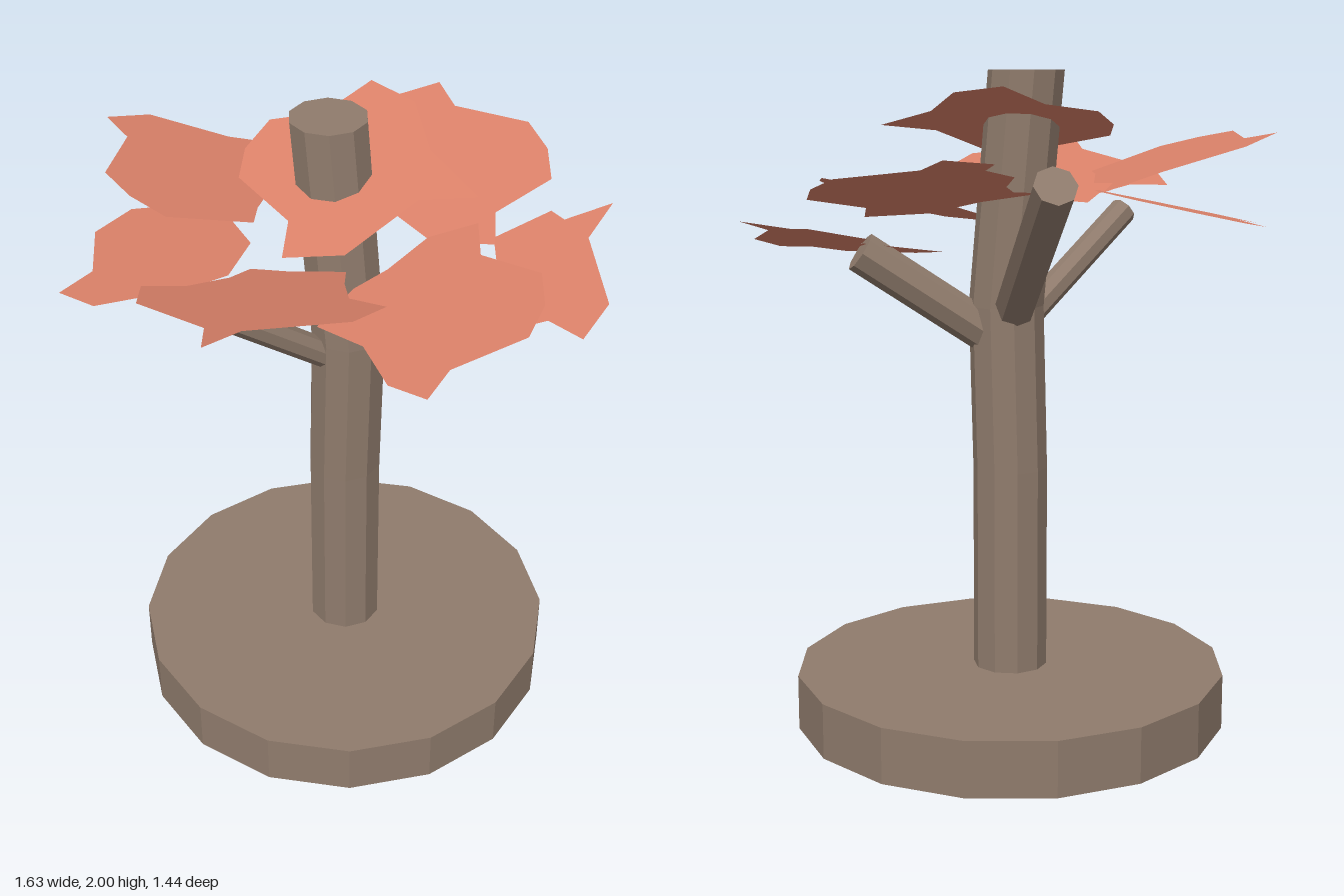
import * as THREE from 'three';

const bark = new THREE.MeshStandardMaterial({ color: 0x8f7b6c, flatShading: true });
const foliage = new THREE.MeshStandardMaterial({ color: 0xd98068, flatShading: true, side: THREE.DoubleSide });

function add(group, name, geometry, material) {
  const mesh = new THREE.Mesh(geometry, material);
  mesh.name = name;
  group.add(mesh);
}

// Straight branch between two points
function branch(from, to, radius) {
  const a = new THREE.Vector3(...from), b = new THREE.Vector3(...to);
  const dir = b.clone().sub(a);
  const g = new THREE.CylinderGeometry(radius, radius, dir.length(), 8);
  g.applyQuaternion(new THREE.Quaternion().setFromUnitVectors(new THREE.Vector3(0, 1, 0), dir.normalize()));
  return g.translate(...a.add(b).multiplyScalar(0.5).toArray());
}

// Flat leaf: an [x, z] outline laid on the plane y = h + sx * x + sz * z
function leaf([h, sx, sz], outline) {
  const g = new THREE.ShapeGeometry(new THREE.Shape(outline.map(([x, z]) => new THREE.Vector2(x, -z))));
  g.rotateX(-Math.PI / 2);
  const p = g.attributes.position;
  for (let i = 0; i < p.count; i++) p.setY(i, h + sx * p.getX(i) + sz * p.getZ(i));
  g.computeVertexNormals();
  return g;
}

// Trunk: cylinder whose rings follow a bent centre line
function trunk() {
  const path = [[0, 0.1, -0.055], [0, 0.8, -0.055], [0.01, 1.3, -0.043], [-0.045, 2, -0.07]];
  const g = new THREE.CylinderGeometry(0.114, 0.114, 3, 10, 3);
  const p = g.attributes.position;
  for (let i = 0; i < p.count; i++) {
    const [x, y, z] = path[Math.round(p.getY(i) + 1.5)];
    p.setXYZ(i, p.getX(i) + x, y, p.getZ(i) + z);
  }
  g.computeVertexNormals();
  return g;
}

const leaves = {
  topLeaf: [[1.82, 0.133, -0.327], [
    [0.086, -0.38], [0.208, -0.276], [0.243, -0.09], [0.366, 0.1], [0.2, 0.083], [-0.007, 0.238],
    [-0.178, 0.22], [-0.16, 0.097], [-0.3, -0.08], [-0.283, -0.184], [-0.212, -0.28], [-0.055, -0.28]]],
  backLeftLeaf: [[1.562, -0.02, -0.3], [
    [0.314, -0.728], [0.357, -0.627], [0.581, -0.561], [0.63, -0.452], [0.63, -0.329], [0.45, -0.197],
    [0.44, -0.075], [0.25, -0.09], [0.12, -0.22], [-0.046, -0.307], [0.046, -0.329], [0.081, -0.4],
    [0.081, -0.513], [0.178, -0.6], [0.165, -0.667]]],
  leftLeaf: [[1.425, 0.13, -0.2], [
    [0.815, -0.285], [0.726, -0.15], [0.752, 0.127], [0.664, 0.25], [0.575, 0.163], [0.47, 0.18],
    [0.38, 0.1], [0.275, 0.02], [0.21, -0.085], [0.45, -0.075], [0.45, -0.2], [0.63, -0.285], [0.665, -0.24]]],
  frontLeftLeaf: [[1.557, 0.265, -0.12], [
    [0.24, -0.04], [0.384, -0.05], [0.38, 0.093], [0.535, 0.23], [0.53, 0.364], [0.476, 0.474],
    [0.265, 0.53], [0.2, 0.622], [0.1, 0.535], [0.04, 0.36], [-0.085, 0.235], [0.02, 0.11], [0.12, 0.06]]],
  frontRightLeaf: [[1.576, 0, 0.28], [
    [-0.375, 0.717], [-0.278, 0.597], [0.007, 0.537], [0.1, 0.42], [0.002, 0.347], [-0.007, 0.22],
    [0, 0.11], [-0.16, 0.1], [-0.27, 0.07], [-0.327, 0.15], [-0.445, 0.222], [-0.568, 0.215],
    [-0.568, 0.364], [-0.375, 0.57]]],
  rightLeaf: [[1.695, 0.21, 0], [
    [-0.82, 0.07], [-0.71, 0.176], [-0.44, 0.18], [-0.33, 0.15], [-0.27, 0], [-0.35, -0.2],
    [-0.5, -0.3], [-0.64, -0.33], [-0.743, -0.235], [-0.73, -0.013]]],
  backRightLeaf: [[1.622, -0.29, 0], [
    [-0.165, -0.522], [-0.225, -0.395], [-0.2, -0.28], [-0.25, -0.1], [-0.26, -0.013], [-0.5, 0.066],
    [-0.603, 0], [-0.678, -0.096], [-0.634, -0.33], [-0.7, -0.42], [-0.58, -0.5], [-0.344, -0.482]]],
};

export function createModel() {
  const tree = new THREE.Group();
  tree.name = 'tree';

  add(tree, 'base', new THREE.CylinderGeometry(0.665, 0.665, 0.17, 16).translate(0, 0.085, -0.057), bark);
  add(tree, 'trunk', trunk(), bark);

  add(tree, 'leftBranch', branch([0, 1.17, -0.05], [0.452, 1.472, -0.053], 0.062), bark);
  add(tree, 'rightBranch', branch([0, 1.2, -0.03], [-0.42, 1.56, 0.2], 0.043), bark);
  add(tree, 'backBranch', branch([0, 1.25, -0.05], [0, 1.7, -0.659], 0.062), bark);

  for (const [name, [plane, outline]] of Object.entries(leaves)) add(tree, name, leaf(plane, outline), foliage);
  return tree;
}
